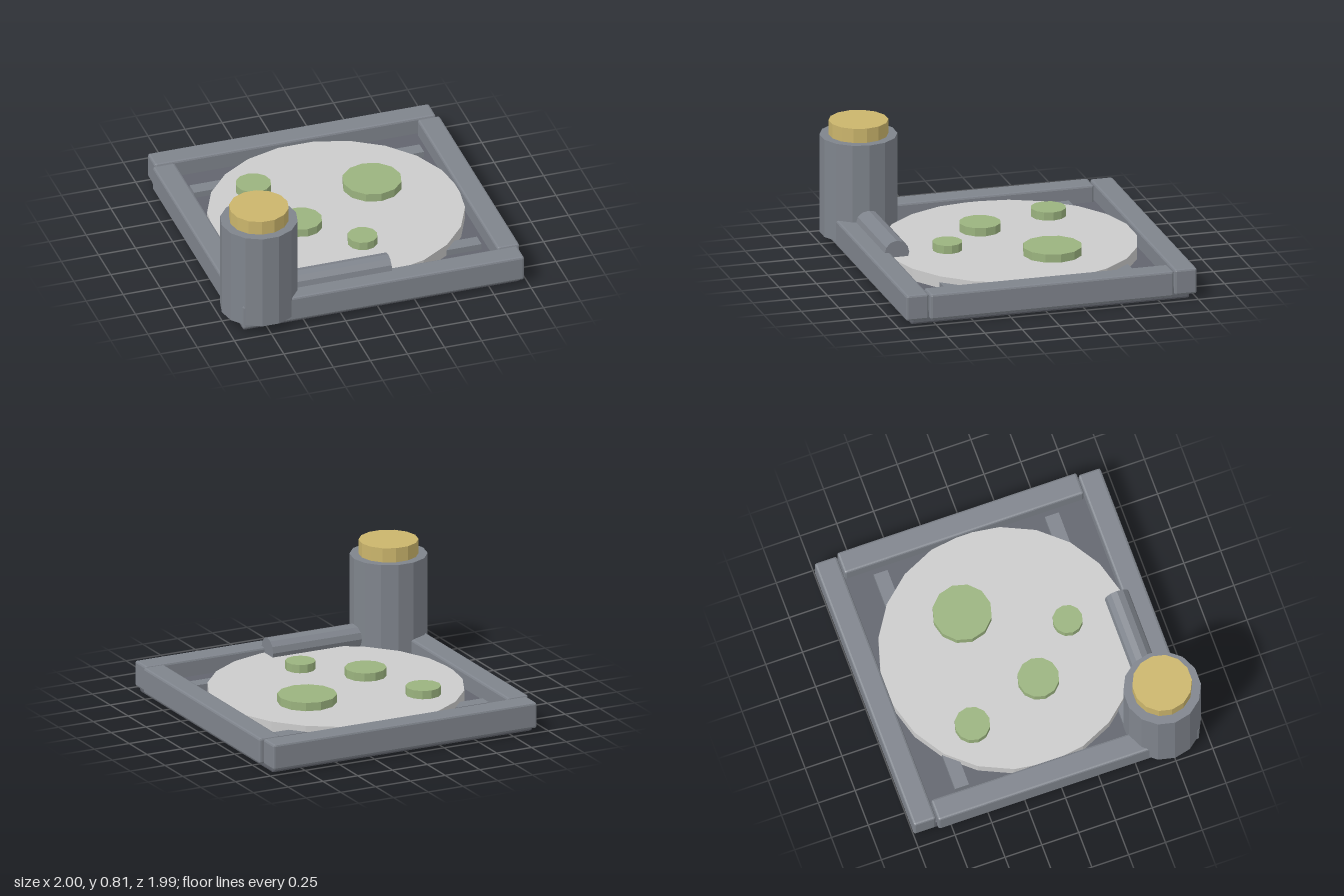
import * as THREE from 'three';
import { RoundedBoxGeometry } from 'three/addons/geometries/RoundedBoxGeometry.js';

const paint = (color) => new THREE.MeshStandardMaterial({ color, flatShading: true });

export function createModel() {
  const group = new THREE.Group();
  const steel = paint(0x7f848c);
  const dark = paint(0x62656e);
  const pale = paint(0xbcbcc0);
  const green = paint(0x9bb37f);
  const gold = paint(0xcbb56c);

  const add = (name, geometry, material) => {
    const mesh = new THREE.Mesh(geometry, material);
    mesh.name = name;
    group.add(mesh);
    return mesh;
  };

  // Box given by its extents, with a small chamfer when bevel > 0
  const box = (name, [x0, x1], [y0, y1], [z0, z1], material, bevel = 0.014) => {
    const size = [x1 - x0, y1 - y0, z1 - z0];
    const geometry = bevel ? new RoundedBoxGeometry(...size, 1, bevel) : new THREE.BoxGeometry(...size);
    add(name, geometry, material).position.set((x0 + x1) / 2, (y0 + y1) / 2, (z0 + z1) / 2);
  };

  // Upright faceted cylinder with corners on the x axis
  const drum = (name, x, z, radius, y0, y1, sides, material, topRadius = radius) => {
    const geometry = new THREE.CylinderGeometry(topRadius, radius, y1 - y0, sides);
    geometry.rotateY(Math.PI / 2);
    add(name, geometry, material).position.set(x, (y0 + y1) / 2, z);
  };

  // Base slab and the four rim walls
  box('baseSlab', [-0.91, 0.96], [0, 0.09], [-0.955, 0.905], dark);
  const wallY = [0.03, 0.203];
  box('backWall', [-0.92, 0.975], wallY, [-1, -0.85], steel);
  box('frontWall', [-0.92, 0.975], wallY, [0.79, 0.94], steel);
  box('rightWall', [-0.94, -0.79], wallY, [-0.84, 0.785], steel);
  box('leftWall', [0.845, 0.995], wallY, [-0.84, 0.785], steel);

  // Cross rails on the slab, under the disc
  for (const z of [-0.613, 0.55]) {
    box('crossRail', [-0.75, 0.8], [0.08, 0.13], [z - 0.047, z + 0.047], steel, 0);
  }

  // Large disc with its raised pads
  drum('disc', 0.028, -0.03, 0.825, 0.085, 0.17, 22, pale);
  const pads = [
    [0.335, -0.225, 0.192],
    [-0.4, -0.418, 0.115],
    [-0.245, 0.085, 0.135],
    [0.065, 0.395, 0.097],
  ];
  for (const [x, z, r] of pads) drum('pad', x, z, r, 0.16, 0.225, 12, green);

  // Corner tower with its cap
  drum('tower', -0.75, 0.745, 0.25, 0.063, 0.72, 14, steel);
  drum('towerCap', -0.75, 0.745, 0.192, 0.7, 0.815, 14, gold);

  // Arm lying over the front wall
  const arm = new THREE.CylinderGeometry(0.082, 0.082, 0.72, 12);
  arm.rotateZ(Math.PI / 2);
  add('arm', arm, steel).position.set(-0.24, 0.198, 0.748);

  return group;
}
